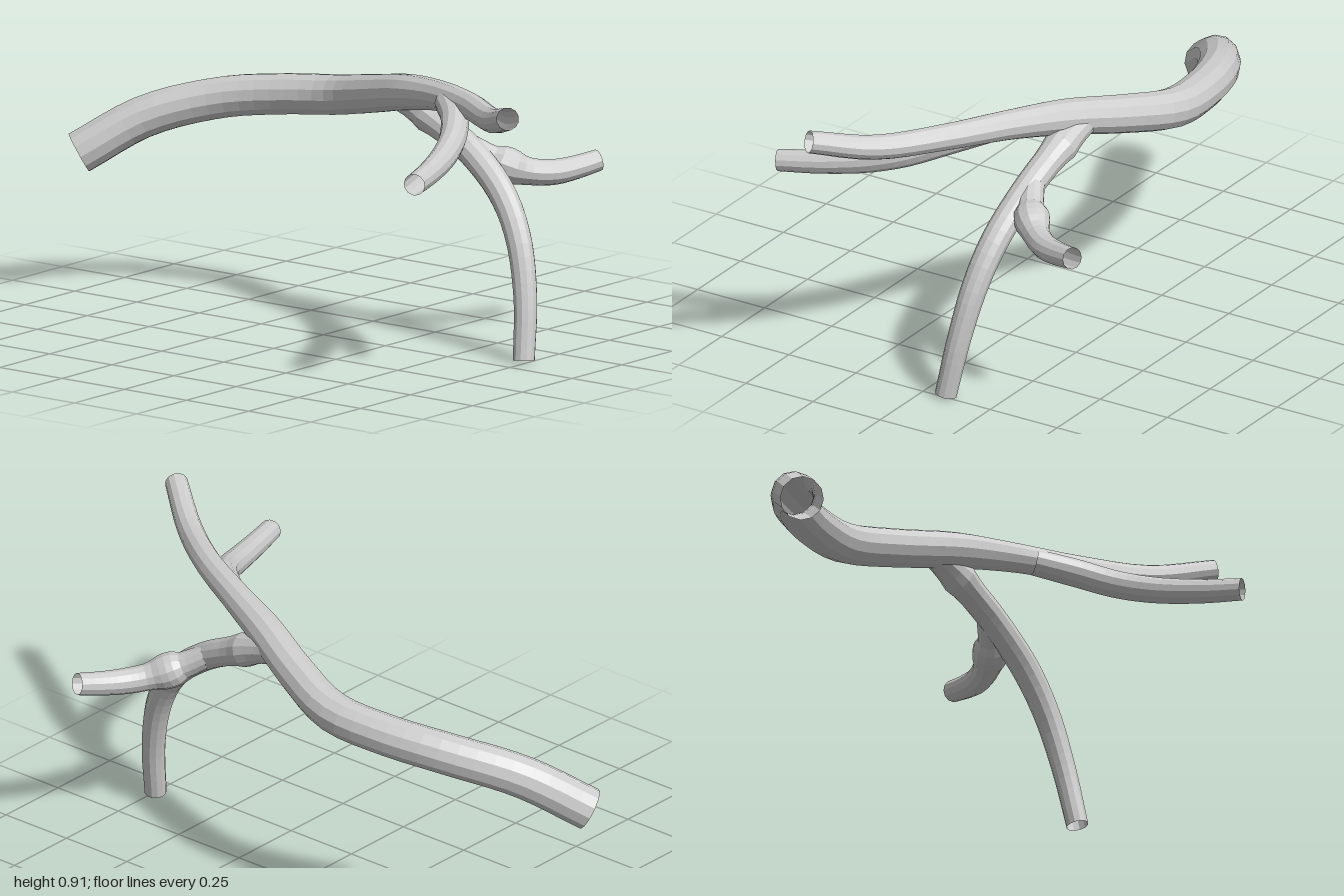
import * as THREE from 'three';

const SIDES = 12;

// Open tapered tube; each point is [x, y, z, radius]
function vessel(name, points, segments, material) {
  const curve = new THREE.CatmullRomCurve3(points.map(p => new THREE.Vector3(p[0], p[1], p[2])));
  const radii = new THREE.CatmullRomCurve3(points.map(p => new THREE.Vector3(p[3], 0, 0)));
  const geometry = new THREE.TubeGeometry(curve, segments, 1, SIDES, false);
  const pos = geometry.attributes.position;
  const v = new THREE.Vector3();
  for (let i = 0; i <= segments; i++) {
    const t = curve.getUtoTmapping(i / segments);
    const centre = curve.getPoint(t);
    const radius = radii.getPoint(t).x;
    for (let j = 0; j <= SIDES; j++) {
      const k = i * (SIDES + 1) + j;
      v.fromBufferAttribute(pos, k).sub(centre).multiplyScalar(radius).add(centre);
      pos.setXYZ(k, v.x, v.y, v.z);
    }
  }
  geometry.computeVertexNormals();
  const mesh = new THREE.Mesh(geometry, material);
  mesh.name = name;
  return mesh;
}

export function createModel() {
  const grey = new THREE.MeshStandardMaterial({ color: 0xcccccc, flatShading: true, side: THREE.DoubleSide });
  grey.name = 'light grey';

  const group = new THREE.Group();
  group.name = 'branchingVessel';

  // Main trunk, from the wide back opening to the narrow front one
  group.add(vessel('trunk', [
    [-0.035, 0.46, -0.955, 0.069], [0.105, 0.575, -0.8, 0.068], [0.235, 0.64, -0.6, 0.067],
    [0.302, 0.668, -0.4, 0.066], [0.322, 0.69, -0.2, 0.065], [0.26, 0.733, 0, 0.062],
    [0.175, 0.78, 0.2, 0.058], [0.092, 0.81, 0.4, 0.048], [-0.01, 0.822, 0.6, 0.043],
    [-0.15, 0.83, 0.8, 0.04], [-0.285, 0.882, 0.97, 0.036],
  ], 40, grey));

  // Side branch leaving the trunk towards the right
  group.add(vessel('rightBranch', [
    [0.05, 0.805, 0.46, 0.042], [-0.04, 0.782, 0.56, 0.044], [-0.14, 0.745, 0.632, 0.043],
    [-0.25, 0.716, 0.685, 0.041], [-0.39, 0.695, 0.738, 0.038], [-0.52, 0.685, 0.782, 0.035],
  ], 18, grey));

  // Branch that bends down to the ground
  group.add(vessel('lowerBranch', [
    [0.21, 0.75, 0.15, 0.045], [0.205, 0.728, 0.22, 0.047], [0.197, 0.69, 0.31, 0.047],
    [0.187, 0.625, 0.44, 0.046], [0.167, 0.51, 0.585, 0.045], [0.145, 0.38, 0.668, 0.042],
    [0.115, 0.2, 0.72, 0.038], [0.08, 0.009, 0.742, 0.035],
  ], 26, grey));

  // Offshoot of the lower branch towards the left
  group.add(vessel('leftOffshoot', [
    [0.195, 0.645, 0.41, 0.036], [0.235, 0.595, 0.49, 0.043], [0.305, 0.556, 0.57, 0.043],
    [0.375, 0.547, 0.623, 0.041], [0.445, 0.555, 0.658, 0.038], [0.518, 0.57, 0.69, 0.035],
  ], 18, grey));

  return group;
}
